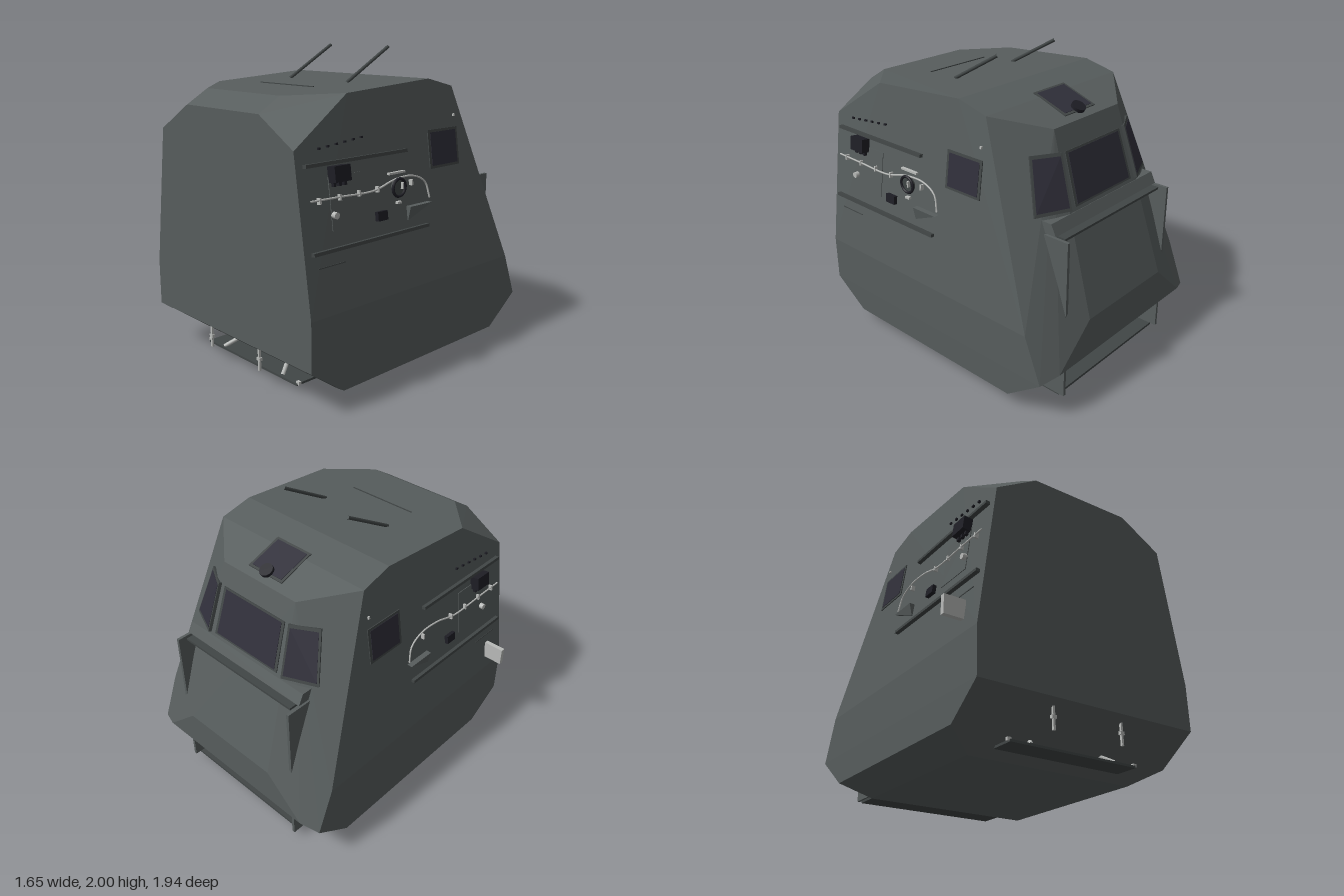
import * as THREE from 'three';
import { ConvexGeometry } from 'three/addons/geometries/ConvexGeometry.js';

const mat = (name, color) => new THREE.MeshStandardMaterial({ name, color });
const V = (x, y, z) => new THREE.Vector3(x, y, z);
const CX = 0.055; // hull centre line

export function createModel() {
  const root = new THREE.Group();
  root.name = 'armouredCabin';
  const armour = mat('armourGrey', 0x575d5d);
  const trim = mat('darkTrim', 0x414646);
  const glass = mat('tintedGlass', 0x302f3a);
  const black = mat('blackFittings', 0x1e1e25);
  const light = mat('lightMetal', 0xb8bab8);

  const add = (name, geo, m, x = 0, y = 0, z = 0, parent = root) => {
    const mesh = new THREE.Mesh(geo, m);
    mesh.name = name;
    mesh.position.set(x, y, z);
    parent.add(mesh);
    return mesh;
  };
  const box = (name, m, w, h, d, x, y, z) => add(name, new THREE.BoxGeometry(w, h, d), m, x, y, z);

  // Faceted hull: half width, height, depth of each mirrored corner
  const corners = [
    [0.58, 0, 0.59], [0.58, 0, -0.55], [0.765, 0.1, 0.72], [0.765, 0.1, -0.67],
    [0.77, 0.28, 0.97], [0.77, 0.58, 0.97], [0.64, 1.49, 0.97], [0.35, 1.66, 0.97],
    [0.35, 1.75, 0.82], [0.605, 1.765, 0.55], [0.6, 1.81, -0.15], [0.605, 1.755, -0.37],
    [0.31, 1.66, -0.62], [0.77, 0.58, -0.81], [0.77, 0.29, -0.925],
    [0.37, 0.57, -0.97], [0.645, 0.32, -0.97],
  ];
  const hullPoints = corners.flatMap(([w, y, z]) => [V(CX + w, y, z), V(CX - w, y, z)]);
  const hull = add('hull', new ConvexGeometry(hullPoints), armour);
  hull.updateMatrixWorld();

  // Point on the hull surface, found along an axis
  const ray = new THREE.Raycaster();
  const onHull = (from, dir) => {
    ray.set(from, dir);
    const hit = ray.intersectObject(hull)[0];
    return hit ? hit.point : from;
  };
  // Thin slab following four corner points, reaching `out` above them
  const slab = (name, pts, grow, out, m) => {
    const mid = pts.reduce((a, p) => a.add(p), V(0, 0, 0)).multiplyScalar(0.25);
    const n = pts[2].clone().sub(pts[0]).cross(pts[3].clone().sub(pts[1])).normalize();
    if (n.dot(mid.clone().sub(V(CX, 0.9, 0))) < 0) n.negate();
    const all = pts.flatMap((p) => {
      const q = p.clone().add(p.clone().sub(mid).normalize().multiplyScalar(grow));
      return [q.clone().addScaledVector(n, out), q.clone().addScaledVector(n, -0.01)];
    });
    return add(name, new ConvexGeometry(all), m);
  };
  const windowPane = (name, pts, out = 0.006) => {
    slab(name + 'Frame', pts, 0.025, out, trim);
    slab(name + 'Glass', pts, 0, out + 0.003, glass);
  };

  // Windscreen of three panes
  const fromFront = (pairs) => pairs.map(([x, y]) => onHull(V(CX + x, y, -3), V(0, 0, 1)));
  windowPane('centreWindscreen', fromFront([[-0.26, 1.22], [0.26, 1.22], [0.245, 1.51], [-0.245, 1.51]]));
  for (const s of [-1, 1]) {
    windowPane('cornerWindscreen', fromFront(
      [[s * 0.335, 1.22], [s * 0.53, 1.22], [s * 0.465, 1.51], [s * 0.315, 1.51]]), 0.014);
  }
  // Roof window and its lamp
  windowPane('roofWindow', [[-0.125, -0.55], [0.125, -0.55], [0.125, -0.335], [-0.125, -0.335]]
    .map(([x, z]) => onHull(V(CX + x, 3, z), V(0, -1, 0))));
  const lamp = add('roofLamp', new THREE.CylinderGeometry(0.045, 0.045, 0.03, 16), black, CX, 1.7, -0.55);
  lamp.rotation.x = -0.5;

  // Roof antennas and seam
  for (const x of [-0.215, 0.32]) {
    const path = new THREE.LineCurve3(V(x, 1.785, 0.225), V(x, 1.995, -0.145));
    add('antenna', new THREE.TubeGeometry(path, 1, 0.011, 8), trim);
  }
  box('roofSeam', trim, 0.5, 0.008, 0.006, 0.05, 1.773, 0.475);

  // Fittings on both flanks
  const TILT = 0.137;
  const flankX = (s, y, out) => CX + s * (0.77 - Math.max(0, y - 0.58) * 0.138 + out);
  for (const s of [-1, 1]) {
    const fit = (name, m, depth, h, len, y, z, out = 0) => {
      const b = box(name, m, depth, h, len, flankX(s, y, out), y, z);
      b.rotation.z = s * TILT;
      return b;
    };
    windowPane('sideWindow', [[1.28, -0.115], [1.28, -0.36], [1.485, -0.36], [1.485, -0.115]]
      .map(([y, z]) => onHull(V(s * 3, y, z), V(-s, 0, 0))));

    fit('upperRail', trim, 0.03, 0.02, 0.8, 1.405, 0.52, 0.01);
    fit('lowerRail', trim, 0.03, 0.02, 0.94, 0.935, 0.45, 0.01);
    fit('accessPanel', armour, 0.008, 0.3, 0.265, 1.18, 0.62);
    fit('equipmentBox', black, 0.06, 0.09, 0.12, 1.345, 0.69, 0.03);
    fit('smallBox', black, 0.03, 0.055, 0.08, 1.057, 0.375, 0.01);
    for (const z of [0.65, 0.69, 0.73]) fit('boxPlug', black, 0.02, 0.025, 0.02, 1.288, z, 0.02);
    for (let i = 0; i < 6; i++) fit('bolt', black, 0.016, 0.012, 0.016, 1.487 + i * 0.006, 0.8 - i * 0.065, 0.003);
    fit('cornerBolt', light, 0.02, 0.016, 0.012, 1.575, -0.36, 0);
    fit('lowerSeam', trim, 0.006, 0.006, 0.2, 0.85, 0.78);

    // Cable with clips
    const run = [[1.22, 0.91], [1.215, 0.7], [1.21, 0.42], [1.25, 0.24], [1.25, 0.08], [1.2, -0.02], [1.1, -0.05]];
    const curve = new THREE.CatmullRomCurve3(run.map(([y, z]) => V(flankX(s, y, 0.018), y, z)));
    add('cable', new THREE.TubeGeometry(curve, 40, 0.006, 6), light);
    for (const z of [0.84, 0.69, 0.54, 0.39, 0.1]) fit('cableClip', light, 0.03, 0.035, 0.012, 1.212, z, 0.01);
    const knob = add('knob', new THREE.CylinderGeometry(0.02, 0.02, 0.03, 8), light, flankX(s, 1.12, 0.015), 1.12, 0.735);
    knob.rotation.z = Math.PI / 2;

    // Wedge-shaped step
    const wedge = [[1.075, 0.145], [1.075, -0.05], [0.99, 0.145]].flatMap(([y, z]) =>
      [V(flankX(s, y, -0.01), y, z), V(flankX(s, y, y > 1 ? 0.035 : 0.005), y, z)]);
    add('sideStep', new ConvexGeometry(wedge), armour);
  }

  // Hand wheel on the left flank
  const wheel = new THREE.Group();
  wheel.name = 'handWheel';
  wheel.position.set(flankX(1, 1.2, 0.025), 1.2, 0.22);
  wheel.rotation.set(0, Math.PI / 2, 0);
  root.add(wheel);
  add('wheelRim', new THREE.TorusGeometry(0.053, 0.009, 8, 24), black, 0, 0, 0, wheel);
  const disc = add('wheelDisc', new THREE.CylinderGeometry(0.05, 0.05, 0.02, 20), trim, 0, 0, -0.012, wheel);
  disc.rotation.x = Math.PI / 2;
  add('wheelHandle', new THREE.BoxGeometry(0.01, 0.04, 0.02), light, 0.02, 0.01, 0.005, wheel);
  box('wheelBar', light, 0.02, 0.012, 0.14, flankX(1, 1.285, 0.01), 1.285, 0.22);
  box('wheelClip', light, 0.02, 0.014, 0.035, flankX(1, 1.11, 0.01), 1.11, 0.22);

  // Plate on the right flank
  box('sidePlate', light, 0.14, 0.12, 0.03, -0.76, 0.73, 0.805);

  // Windscreen-side brackets with shelf and lower step
  const bracket = new THREE.Shape([[0.69, 1.11], [0.905, 1.11], [0.905, 0.06], [0.6, 0.06], [0.6, 0.5], [0.69, 0.7]]
    .map(([x, y]) => new THREE.Vector2(x, y)));
  const bracketGeo = new THREE.ExtrudeGeometry(bracket, { depth: 0.02, bevelEnabled: false });
  bracketGeo.rotateY(Math.PI / 2);
  for (const s of [-1, 1]) add('stepBracket', bracketGeo, armour, CX + s * 0.51 - 0.01, 0, 0);
  const ledge = [-0.51, 0.51].flatMap((x) => [[1.185, -0.69], [1.185, -0.775], [1.115, -0.81], [1.115, -0.69]]
    .map(([y, z]) => V(CX + x, y, z)));
  add('ledge', new ConvexGeometry(ledge), armour);
  box('ledgeStep', trim, 0.96, 0.015, 0.06, CX, 1.1, -0.825);
  box('frontStep', trim, 1.02, 0.016, 0.29, CX, 0.05, -0.715);

  // Rear step with rods and struts
  box('rearStep', trim, 0.9, 0.014, 0.25, CX, 0.05, 0.68);
  for (const s of [-1, 1]) {
    const x = CX + s * 0.245;
    box('rearRod', light, 0.014, 0.14, 0.014, x, 0.18, 0.92);
    box('rodClip', light, 0.03, 0.02, 0.02, x, 0.185, 0.92);
    const strut = new THREE.LineCurve3(V(x, 0.11, 0.7), V(x + s * 0.055, 0.055, 0.79));
    add('rearStrut', new THREE.TubeGeometry(strut, 1, 0.014, 6), light);
    box('stepFoot', light, 0.025, 0.02, 0.02, CX + s * 0.45, 0.06, 0.79);
  }
  return root;
}
